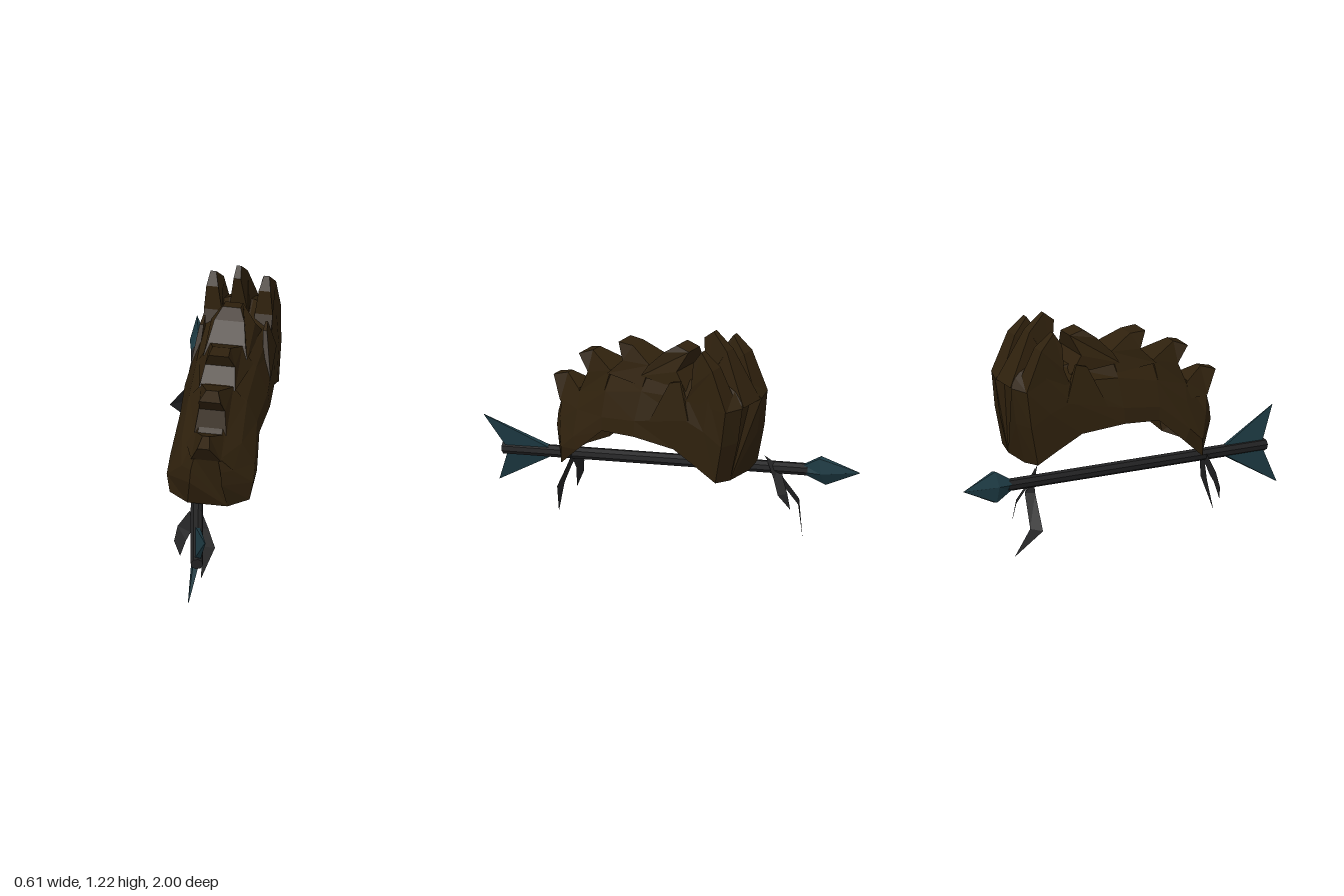
import * as THREE from 'three';

const mat = (name, color) => {
  const m = new THREE.MeshStandardMaterial({ color, side: THREE.DoubleSide });
  m.name = name;
  return m;
};

// Flat-shaded geometry from points and triangles
function facets(points, tris) {
  const g = new THREE.BufferGeometry();
  g.setAttribute('position', new THREE.Float32BufferAttribute(points.flat(), 3));
  g.setIndex(tris.flat());
  const flat = g.toNonIndexed();
  flat.computeVertexNormals();
  return flat;
}

// Skin a row of rings and cap both ends; open rings leave the underside hollow
function loft(rings, closed) {
  const n = rings[0].length, tris = [], last = (rings.length - 1) * n;
  for (let s = 0; s < rings.length - 1; s++) {
    for (let i = 0; i < (closed ? n : n - 1); i++) {
      const a = s * n + i, b = s * n + (i + 1) % n;
      tris.push([a, b, b + n], [a, b + n, a + n]);
    }
  }
  for (let i = 1; i < n - 1; i++) tris.push([0, i + 1, i], [last, last + i, last + i + 1]);
  return facets(rings.flat(), tris);
}

// Side profile of [z, y, halfWidth] points, thickened about x, open at its base; lean shifts x
function wedge(profile, x = 0, lean = 0) {
  const n = profile.length, y0 = profile[0][1];
  const side = s => profile.map(([z, y, w]) => [x + lean * (y - y0) + s * w, y, z]);
  const tris = [];
  for (const [a, b, c] of THREE.ShapeUtils.triangulateShape(profile.map(p => new THREE.Vector2(p[0], p[1])), [])) {
    tris.push([a, c, b], [a + n, b + n, c + n]);
  }
  for (let i = 0; i < n - 1; i++) tris.push([i, i + 1, i + 1 + n], [i, i + 1 + n, i + n]);
  return facets([...side(-1), ...side(1)], tris);
}

// Cloth strip through pairs of edge points
function strip(pairs) {
  const tris = [];
  for (let i = 0; i < pairs.length - 1; i++) {
    const a = i * 2;
    tris.push([a, a + 1, a + 3], [a, a + 3, a + 2]);
  }
  return facets(pairs.flat(), tris);
}

export function createModel() {
  const model = new THREE.Group();
  const brown = mat('dark brown', 0x2f210d);
  const black = mat('charcoal', 0x232324);
  const teal = mat('dark teal', 0x1d3a43);
  const add = (parent, name, geo, material) => {
    const m = new THREE.Mesh(geo, material);
    m.name = name;
    parent.add(m);
    return m;
  };

  // Arched hollow body: bottom, side, shoulder and crest as [z, y, halfWidth]
  const hair = new THREE.Group();
  hair.name = 'crest';
  hair.position.x = 0.085;
  model.add(hair);
  const stations = [
    [[-0.506, 0.485, 0.08], [-0.555, 0.7, 0.08], [-0.582, 0.89, 0.08], [-0.55, 0.94, 0.05]],
    [[-0.485, 0.497, 0.175], [-0.525, 0.7, 0.18], [-0.547, 0.89, 0.175], [-0.52, 0.96, 0.06]],
    [[-0.38, 0.555, 0.185], [-0.42, 0.76, 0.187], [-0.44, 0.95, 0.17], [-0.42, 1.0, 0.06]],
    [[-0.245, 0.625, 0.197], [-0.3, 0.8, 0.192], [-0.31, 0.9, 0.165], [-0.29, 0.945, 0.06]],
    [[-0.013, 0.64, 0.218], [-0.013, 0.72, 0.208], [-0.013, 0.86, 0.15], [-0.013, 0.97, 0.06]],
    [[0.19, 0.613, 0.203], [0.2, 0.68, 0.193], [0.21, 0.8, 0.145], [0.23, 0.885, 0.06]],
    [[0.33, 0.48, 0.217], [0.36, 0.54, 0.212], [0.38, 0.66, 0.15], [0.42, 0.74, 0.06]],
    [[0.44, 0.375, 0.2], [0.43, 0.47, 0.217], [0.5, 0.57, 0.13], [0.535, 0.65, 0.07]],
    [[0.5, 0.36, 0.1], [0.555, 0.51, 0.08], [0.55, 0.58, 0.075], [0.54, 0.65, 0.06]],
  ];
  const ring = st => [
    ...st.map(([z, y, w]) => [w, y, z]),
    ...[...st].reverse().map(([z, y, w]) => [-w, y, z]),
  ];
  add(hair, 'crestBody', loft(stations.map(ring), false), brown);

  // Swept tufts along the ridge, front to back
  const tufts = [
    [[0.54, 0.64, 0.075], [0.613, 0.747, 0.03], [0.533, 0.774, 0.018], [0.426, 0.726, 0.07], [0.4, 0.66, 0.13]],
    [[0.42, 0.72, 0.08], [0.378, 0.833, 0.065], [0.44, 0.913, 0.055], [0.372, 0.94, 0.03], [0.228, 0.885, 0.08], [0.22, 0.8, 0.14]],
    [[0.24, 0.87, 0.09], [0.158, 0.956, 0.075], [0.2, 1.036, 0.05], [0.115, 1.036, 0.045], [-0.013, 0.975, 0.08], [-0.01, 0.88, 0.135]],
    [[0.02, 0.92, 0.11], [-0.013, 0.977, 0.095], [-0.094, 1.063, 0.075], [-0.153, 1.106, 0.045], [-0.228, 1.09, 0.045], [-0.2, 1.0, 0.11], [-0.27, 0.92, 0.13]],
  ];
  for (const t of tufts) add(hair, 'ridgeTuft', wedge(t), brown);

  // Three tall spikes at the back
  add(hair, 'backSpike', wedge([
    [-0.32, 0.92, 0.06], [-0.335, 0.956, 0.05], [-0.303, 1.18, 0.018], [-0.356, 1.224, 0.012],
    [-0.447, 1.144, 0.027], [-0.582, 0.89, 0.07]]), brown);
  for (const s of [-1, 1]) {
    add(hair, 'sideSpike', wedge([
      [-0.3, 0.89, 0.045], [-0.335, 0.97, 0.045], [-0.34, 1.1, 0.03], [-0.38, 1.165, 0.014],
      [-0.46, 1.09, 0.035], [-0.55, 0.89, 0.05]], s * 0.125, s * 0.03), brown);
    // Small locks on the flanks
    add(hair, 'sideLock', wedge([
      [-0.1, 0.74, 0.02], [-0.2, 0.96, 0.01], [-0.26, 0.98, 0.006], [-0.33, 0.8, 0.015]],
      s * 0.185, s * -0.12), brown);
  }

  // Arrow frame: local z runs from head to tail, origin at the tail end
  const arrow = new THREE.Group();
  arrow.name = 'arrow';
  const dir = new THREE.Vector3(0.305, -0.205, 1.65).normalize();
  const right = new THREE.Vector3(0.22, 0.97, 0).cross(dir).normalize();
  const up = dir.clone().cross(right);
  arrow.quaternion.setFromRotationMatrix(new THREE.Matrix4().makeBasis(right, up, dir));
  arrow.position.set(0.11, 0.27, 0.92);
  model.add(arrow);
  const shaft = add(arrow, 'shaft', new THREE.CylinderGeometry(0.031, 0.031, 1.69, 8).toNonIndexed(), black);
  shaft.geometry.computeVertexNormals();
  shaft.geometry.rotateX(Math.PI / 2).translate(0, 0, -0.845);

  // Diamond arrowhead with blunt upper and lower edges
  const lozenge = (z, w, h) => [
    [w, 0, z], [w * 0.35, h, z], [-w * 0.35, h, z], [-w, 0, z], [-w * 0.35, -h, z], [w * 0.35, -h, z]];
  add(arrow, 'arrowhead', loft([
    lozenge(-1.967, 0.001, 0.001), lozenge(-1.765, 0.037, 0.077), lozenge(-1.67, 0.03, 0.03)], true), teal);

  // Two tail fins
  for (const s of [-1, 1]) {
    add(arrow, 'tailFin', wedge([
      [-0.27, s * 0.02, 0.012], [0.068, s * 0.191, 0.002], [-0.02, s * 0.02, 0.014]]), teal);
  }

  // Torn ribbons hanging from the shaft
  const ribbons = {
    rearLongRibbon: [
      [[-0.18, 0.45, -0.56], [-0.12, 0.52, -0.505]], [[-0.19, 0.4, -0.56], [-0.14, 0.39, -0.59]],
      [[-0.305, 0.24, -0.582], [-0.245, 0.24, -0.62]], [[-0.2, 0.09, -0.68], [-0.2, 0.092, -0.68]]],
    rearShortRibbon: [
      [[-0.18, 0.47, -0.56], [-0.12, 0.5, -0.52]], [[-0.15, 0.4, -0.6], [-0.11, 0.41, -0.57]],
      [[-0.135, 0.34, -0.635], [-0.09, 0.34, -0.61]], [[-0.132, 0.26, -0.655], [-0.13, 0.262, -0.655]]],
    frontLeftRibbon: [
      [[0.01, 0.3, 0.54], [0.06, 0.34, 0.53]], [[0.05, 0.25, 0.55], [0.1, 0.25, 0.55]],
      [[0.075, 0.16, 0.575], [0.137, 0.16, 0.575]], [[0.073, 0, 0.61], [0.075, 0, 0.61]]],
    frontRightRibbon: [
      [[0, 0.33, 0.53], [0.06, 0.3, 0.54]], [[-0.055, 0.25, 0.55], [0.01, 0.22, 0.55]],
      [[-0.07, 0.17, 0.565], [-0.01, 0.18, 0.565]], [[-0.038, 0.1, 0.58], [-0.036, 0.1, 0.58]]],
  };
  for (const [name, pairs] of Object.entries(ribbons)) add(model, name, strip(pairs), black);

  return model;
}
